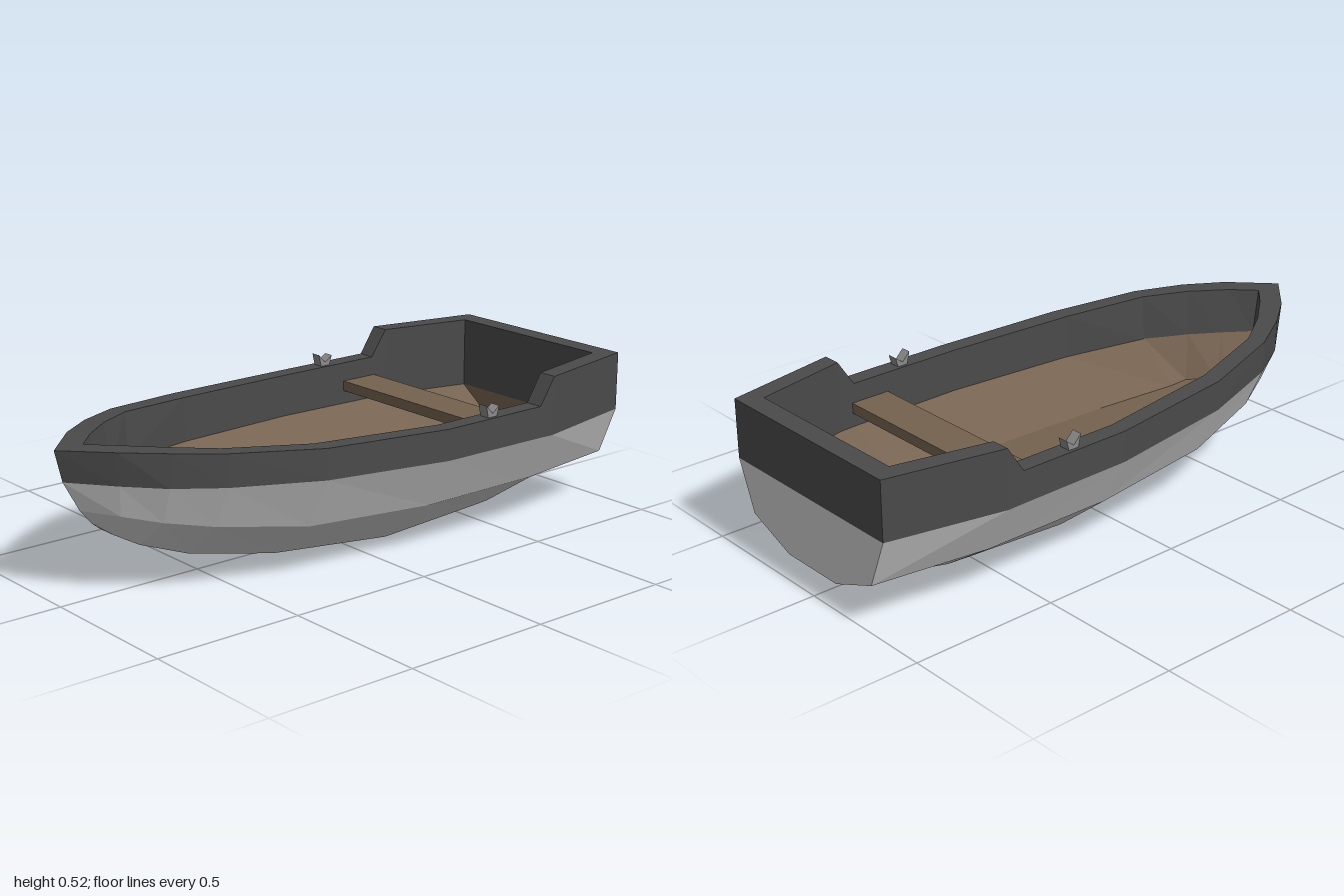
import * as THREE from 'three';

const paint = (color) => new THREE.MeshStandardMaterial({ color, flatShading: true, side: THREE.DoubleSide });

// Each row is a fore-and-aft line of [x, y, halfWidth]; neighbouring rows are
// skinned with quads, and the result is mirrored across the centreline.
function skin(name, rows, material) {
  const pos = [];
  const a = new THREE.Vector3(), b = new THREE.Vector3();
  const tri = (p, q, r) => {
    a.set(q[0] - p[0], q[1] - p[1], q[2] - p[2]);
    b.set(r[0] - p[0], r[1] - p[1], r[2] - p[2]);
    if (a.cross(b).length() < 1e-7) return;
    pos.push(...p, ...q, ...r);
    for (const v of [p, r, q]) pos.push(v[0], v[1], -v[2]);
  };
  for (let j = 0; j < rows.length - 1; j++) {
    const u = rows[j], l = rows[j + 1];
    for (let i = 0; i < u.length - 1; i++) {
      tri(u[i], l[i], l[i + 1]);
      tri(u[i], l[i + 1], u[i + 1]);
    }
  }
  const geo = new THREE.BufferGeometry();
  geo.setAttribute('position', new THREE.Float32BufferAttribute(pos, 3));
  geo.computeVertexNormals();
  const mesh = new THREE.Mesh(geo, material);
  mesh.name = name;
  return mesh;
}

// Builds a row from its stations and closes it across the stern
const row = (...pts) => {
  const end = pts[pts.length - 1];
  return [...pts, [end[0], end[1], 0]];
};

export function createModel() {
  const boat = new THREE.Group();
  boat.name = 'rowingBoat';
  const grey = paint(0xcccccc), dark = paint(0x4a4a4a), wood = paint(0x756250), metal = paint(0x8a8a8a);

  // Outer lines, bow to stern
  const sheer = row([-1, 0.487, 0], [-0.87, 0.487, 0.135], [-0.75, 0.482, 0.225], [-0.6, 0.472, 0.308],
    [-0.3, 0.45, 0.395], [0.15, 0.435, 0.443], [0.55, 0.435, 0.443], [0.61, 0.525, 0.443], [1, 0.525, 0.363]);
  const strake = row([-0.975, 0.385, 0], [-0.86, 0.38, 0.125], [-0.75, 0.374, 0.222], [-0.6, 0.367, 0.306],
    [-0.3, 0.35, 0.395], [0.15, 0.332, 0.443], [0.55, 0.329, 0.443], [0.61, 0.328, 0.443], [1, 0.328, 0.363]);
  const chine = row([-0.92, 0.285, 0], [-0.84, 0.275, 0.095], [-0.74, 0.253, 0.17], [-0.6, 0.228, 0.238],
    [-0.3, 0.182, 0.31], [0.15, 0.163, 0.351], [0.55, 0.163, 0.351], [0.61, 0.163, 0.351], [1, 0.163, 0.297]);
  const bilge = row([-0.88, 0.237, 0], [-0.83, 0.2, 0.035], [-0.76, 0.162, 0.07], [-0.6, 0.105, 0.102],
    [-0.3, 0.045, 0.132], [0.15, 0.002, 0.15], [0.55, 0.024, 0.15], [0.61, 0.028, 0.15], [1, 0.094, 0.12]);
  const keel = bilge.map(([x, y]) => [x, y, 0]);

  // Inner lines
  const rim = row([-0.9, 0.487, 0], [-0.83, 0.487, 0.072], [-0.72, 0.482, 0.165], [-0.585, 0.472, 0.25],
    [-0.3, 0.45, 0.33], [0.15, 0.435, 0.383], [0.55, 0.435, 0.383], [0.61, 0.525, 0.38], [0.93, 0.525, 0.31]);
  const lining = row([-0.88, 0.34, 0], [-0.8, 0.335, 0.072], [-0.71, 0.328, 0.15], [-0.585, 0.318, 0.24],
    [-0.3, 0.302, 0.328], [0.15, 0.292, 0.382], [0.55, 0.288, 0.382], [0.61, 0.288, 0.379], [0.93, 0.286, 0.309]);
  const floorEdge = row([-0.75, 0.2, 0], [-0.73, 0.197, 0.025], [-0.66, 0.185, 0.105], [-0.59, 0.18, 0.11],
    [-0.3, 0.17, 0.15], [0.15, 0.165, 0.172], [0.55, 0.165, 0.17], [0.61, 0.165, 0.167], [0.93, 0.165, 0.14]);
  const floorMiddle = floorEdge.map(([x, y]) => [x, y, 0]);

  boat.add(skin('gunwale', [lining, rim, sheer, strake], dark));
  boat.add(skin('hull', [strake, chine, bilge, keel], grey));
  boat.add(skin('floorBoards', [floorMiddle, floorEdge, lining], wood));

  // Bench across the boat
  const bench = new THREE.Mesh(new THREE.BoxGeometry(0.14, 0.035, 0.766), wood);
  bench.name = 'bench';
  bench.position.set(0.49, 0.352, 0);
  boat.add(bench);

  // Notched oarlocks on both gunwales
  const notch = new THREE.Shape([[-0.018, 0], [0.018, 0], [0.028, 0.036], [0, 0.015], [-0.028, 0.044]]
    .map(([x, y]) => new THREE.Vector2(x, y)));
  const lockGeo = new THREE.ExtrudeGeometry(notch, { depth: 0.036, bevelEnabled: false });
  lockGeo.translate(0, 0, -0.018);
  for (const side of [1, -1]) {
    const lock = new THREE.Mesh(lockGeo, metal);
    lock.name = side > 0 ? 'frontOarlock' : 'backOarlock';
    lock.position.set(0.347, 0.432, side * 0.413);
    boat.add(lock);
  }
  return boat;
}
